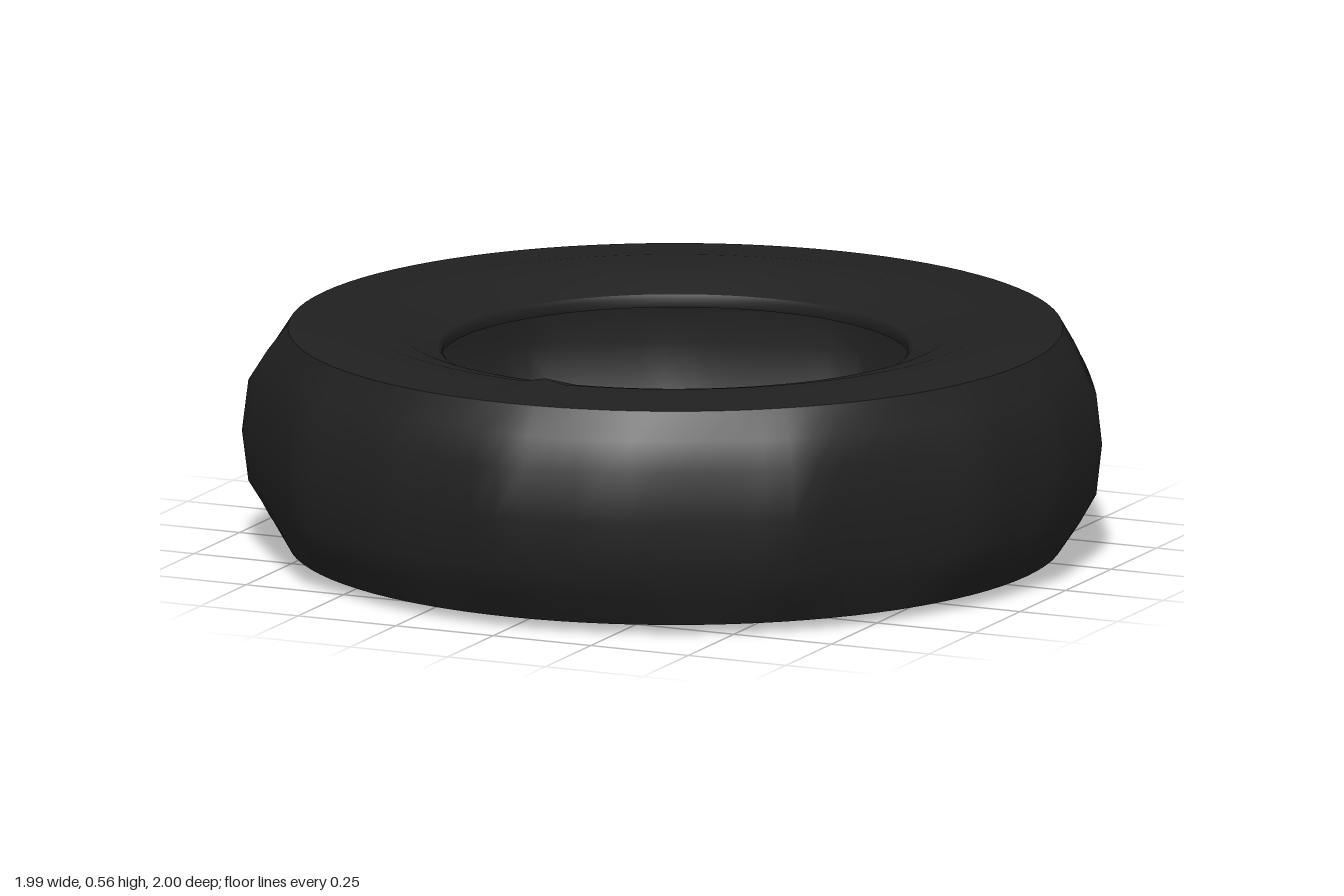
import * as THREE from 'three';

const SEGMENTS = 96;
const MID = 0.278; // height of the tyre's middle plane

// Faceted outline of the tread's widest line, as [x, z] corners
const OUTLINE = [
  [0, -1], [0.43, -0.91], [0.75, -0.66], [0.95, -0.31], [0.99, 0], [0.95, 0.3],
  [0.67, 0.73], [0.28, 0.95], [0, 1], [-0.33, 0.93], [-0.6, 0.8], [-0.93, 0.39],
  [-1, -0.12], [-0.9, -0.42], [-0.7, -0.72], [-0.42, -0.9],
];

// Distance from the axis to the outline in direction a (a = 0 points to +z)
function outlineRadius(a) {
  const dx = Math.sin(a), dz = Math.cos(a);
  for (let i = 0; i < OUTLINE.length; i++) {
    const [x0, z0] = OUTLINE[i], [x1, z1] = OUTLINE[(i + 1) % OUTLINE.length];
    const c0 = dx * z0 - dz * x0, c1 = dx * z1 - dz * x1;
    const t = c0 / (c0 - c1);
    if (c0 * c1 > 1e-9 || !(t >= 0 && t <= 1)) continue;
    const r = dx * (x0 + t * (x1 - x0)) + dz * (z0 + t * (z1 - z0));
    if (r > 0) return r;
  }
  return 0.98;
}

// Closed band of rings; point(ring, angle) returns [radius, y]
function ringSurface(rings, point) {
  const positions = [], index = [];
  for (let j = 0; j < rings; j++) {
    for (let i = 0; i < SEGMENTS; i++) {
      const a = (i / SEGMENTS) * Math.PI * 2;
      const [r, y] = point(j, a);
      positions.push(r * Math.sin(a), y, r * Math.cos(a));
    }
  }
  for (let j = 0; j < rings - 1; j++) {
    for (let i = 0; i < SEGMENTS; i++) {
      const n = (i + 1) % SEGMENTS;
      const a = j * SEGMENTS + i, b = j * SEGMENTS + n;
      const c = a + SEGMENTS, d = b + SEGMENTS;
      index.push(a, b, d, a, d, c);
    }
  }
  const geometry = new THREE.BufferGeometry();
  geometry.setAttribute('position', new THREE.Float32BufferAttribute(positions, 3));
  geometry.setIndex(index);
  geometry.computeVertexNormals();
  return geometry;
}

export function createModel() {
  const model = new THREE.Group();
  model.name = 'tyre';
  const rubber = new THREE.MeshStandardMaterial({ color: 0x202020, side: THREE.DoubleSide });
  rubber.name = 'black rubber';

  const add = (name, geometry) => {
    const mesh = new THREE.Mesh(geometry, rubber);
    mesh.name = name;
    model.add(mesh);
  };

  // Tread: [share of the faceted bulge, offset from the middle plane]
  const tread = [
    [0, -0.254], [0.45, -0.19], [0.86, -0.12], [1, 0], [0.86, 0.12], [0.45, 0.19], [0, 0.254],
  ];
  add('tread', ringSurface(tread.length, (j, a) => {
    const [bulge, offset] = tread[j];
    return [0.9 + (outlineRadius(a) - 0.9) * bulge, MID + offset];
  }));

  // Sidewalls dip towards the hole and end in short bead lips; [radius, offset from middle]
  const wall = [[0.9, 0.254], [0.72, 0.267], [0.64, 0.25], [0.55, 0.21]];
  const lip = [[0.55, 0.21], [0.54, 0.2], [0.545, 0.18]];
  for (const [label, side] of [['upper', 1], ['lower', -1]]) {
    const ordered = (profile) => (side > 0 ? profile : [...profile].reverse());
    const walls = ordered(wall), lips = ordered(lip);
    add(label + 'Sidewall', ringSurface(walls.length, (j, a) => {
      // small raised seam at the front
      const seam = walls[j][0] === 0.72 && a === 0 ? 0.011 : 0;
      return [walls[j][0], MID + side * (walls[j][1] + seam)];
    }));
    add(label + 'BeadLip', ringSurface(lips.length, (j) => [lips[j][0], MID + side * lips[j][1]]));
  }
  return model;
}
